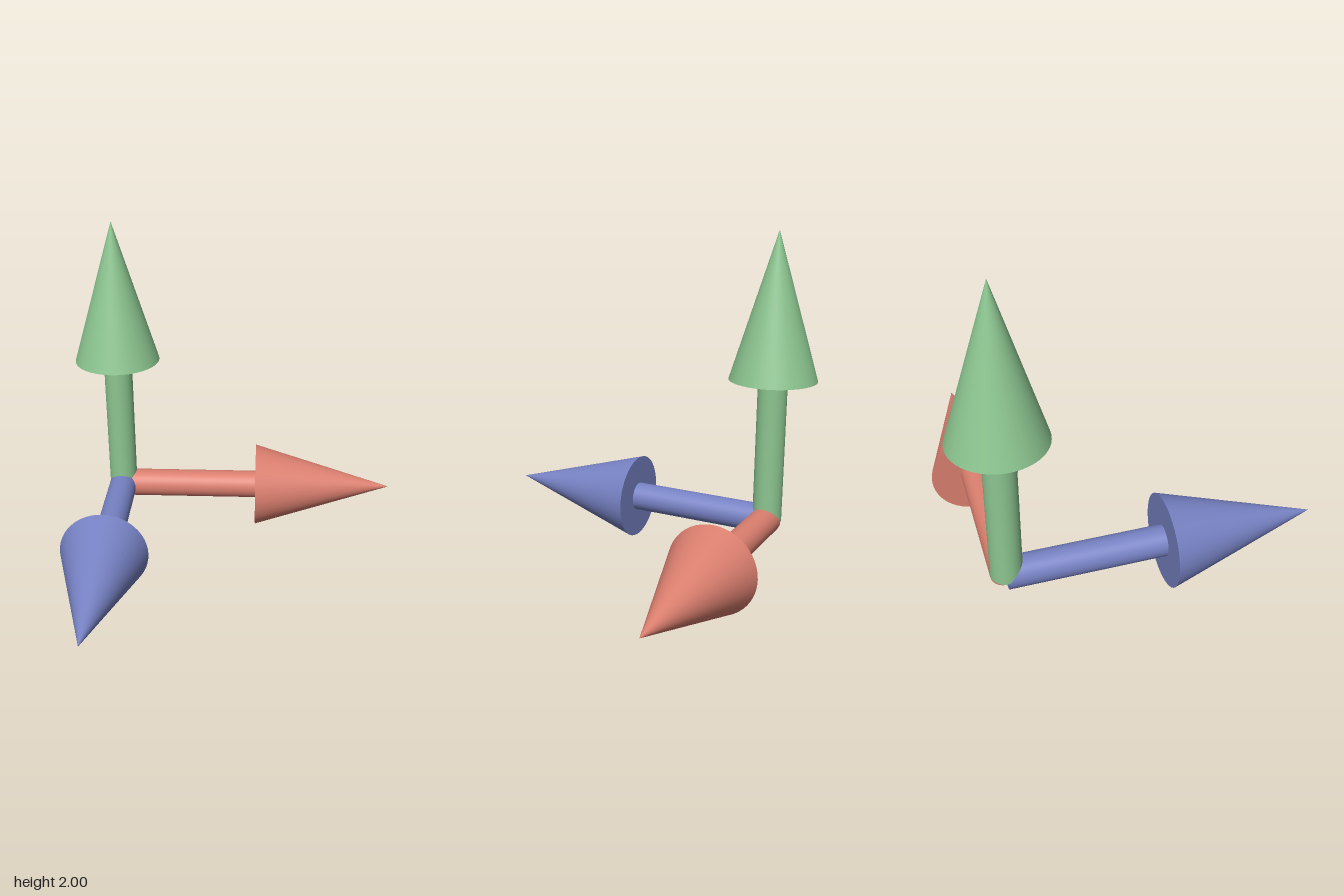
import * as THREE from 'three';

const ORIGIN = new THREE.Vector3(-0.74, 0.26, -0.74);
const LENGTH = 1.74, HEAD_START = 0.87;
const SHAFT_RADIUS = 0.087, HEAD_RADIUS = 0.26, SIDES = 48;

// One arrow pointing along +y from its own origin: a shaft and a conical head
function makeArrow(name, color) {
  const material = new THREE.MeshStandardMaterial({ color });
  const arrow = new THREE.Group();
  arrow.name = name;

  const shaft = new THREE.Mesh(
    new THREE.CylinderGeometry(SHAFT_RADIUS, SHAFT_RADIUS, HEAD_START, SIDES), material);
  shaft.name = name + 'Shaft';
  shaft.position.y = HEAD_START / 2;

  const headLength = LENGTH - HEAD_START;
  const head = new THREE.Mesh(
    new THREE.ConeGeometry(HEAD_RADIUS, headLength, SIDES), material);
  head.name = name + 'Head';
  head.position.y = HEAD_START + headLength / 2;

  arrow.add(shaft, head);
  return arrow;
}

export function createModel() {
  const model = new THREE.Group();
  model.name = 'axisArrows';

  // Three arrows sharing one corner
  const up = makeArrow('upArrow', 0x8cc590);
  const side = makeArrow('sideArrow', 0xdb7f6f);
  side.rotation.z = -Math.PI / 2;
  const front = makeArrow('frontArrow', 0x7782c4);
  front.rotation.x = Math.PI / 2;

  for (const arrow of [up, side, front]) {
    arrow.position.copy(ORIGIN);
    model.add(arrow);
  }
  return model;
}
